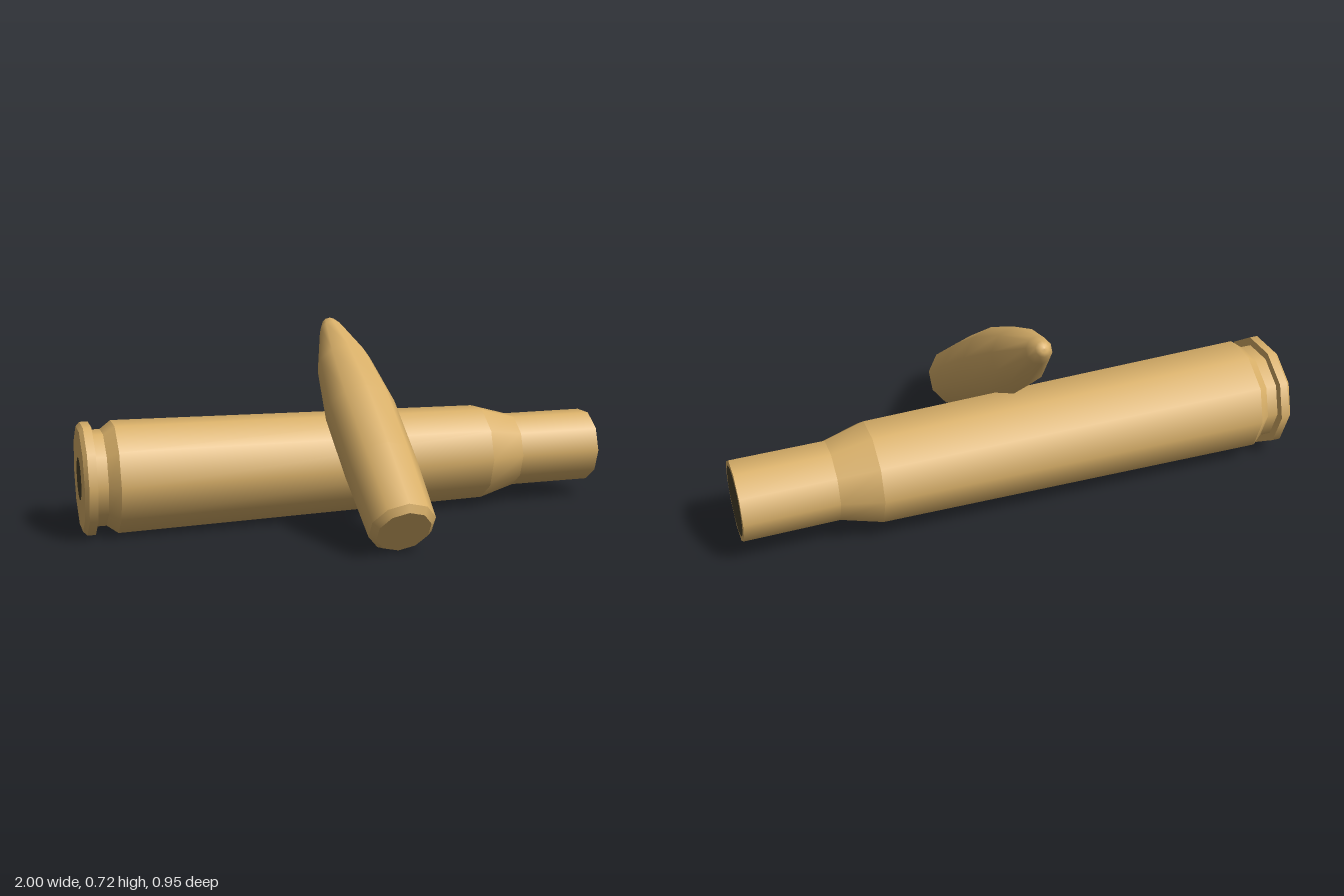
import * as THREE from 'three';

const SIDES = 10;

const brass = new THREE.MeshStandardMaterial({ color: 0xd9b069 });
brass.name = 'brass';
const dark = new THREE.MeshStandardMaterial({ color: 0x4a422c });
dark.name = 'dark';

// Each band is a list of [radius, height] points, smooth within, sharp against its neighbours
function turned(name, bands) {
  const group = new THREE.Group();
  group.name = name;
  for (const [bandName, ...points] of bands) {
    const profile = points.map(([r, h]) => new THREE.Vector2(r, h));
    const mesh = new THREE.Mesh(new THREE.LatheGeometry(profile, SIDES), brass);
    mesh.name = bandName;
    group.add(mesh);
  }
  return group;
}

// Thin dark disc facing up or down the turning axis
function disc(name, radius, height, facing) {
  const geometry = new THREE.CircleGeometry(radius, 20);
  geometry.rotateX(-facing * Math.PI / 2);
  geometry.translate(0, height, 0);
  const mesh = new THREE.Mesh(geometry, dark);
  mesh.name = name;
  return mesh;
}

export function createModel() {
  const model = new THREE.Group();
  model.name = 'caseAndBullet';

  // Bottlenecked case lying along x, mouth towards +x
  const casing = turned('case', [
    ['headFace', [0, -0.999], [0.19, -0.999]],
    ['rimBevel', [0.19, -0.999], [0.205, -0.985]],
    ['rim', [0.205, -0.985], [0.205, -0.955]],
    ['rimShoulder', [0.205, -0.955], [0.175, -0.955]],
    ['groove', [0.175, -0.955], [0.175, -0.915]],
    ['grooveBevel', [0.175, -0.915], [0.205, -0.875]],
    ['body', [0.205, -0.875], [0.182, 0.535]],
    ['shoulder', [0.182, 0.535], [0.142, 0.675]],
    ['neck', [0.142, 0.675], [0.142, 0.999]],
    ['mouthRing', [0.142, 0.999], [0, 0.999]],
  ]);
  casing.add(disc('mouthOpening', 0.12, 1, 1));
  casing.add(disc('primer', 0.078, -1, -1));
  casing.rotation.z = -Math.PI / 2;
  casing.position.set(0, 0.197, -0.236);
  model.add(casing);

  // Bullet leaning back across the case
  const bullet = turned('bullet', [
    ['bulletBase', [0, -0.022], [0.097, -0.022]],
    ['baseBevel', [0.097, -0.022], [0.119, 0]],
    ['bulletBody', [0.119, 0], [0.129, 0.275], [0.13, 0.56], [0.102, 0.807],
      [0.046, 1.005], [0.027, 1.047], [0.014, 1.056], [0, 1.06]],
  ]);
  bullet.rotation.x = -THREE.MathUtils.degToRad(55.2);
  bullet.position.set(0, 0.1, 0.401);
  model.add(bullet);

  return model;
}
